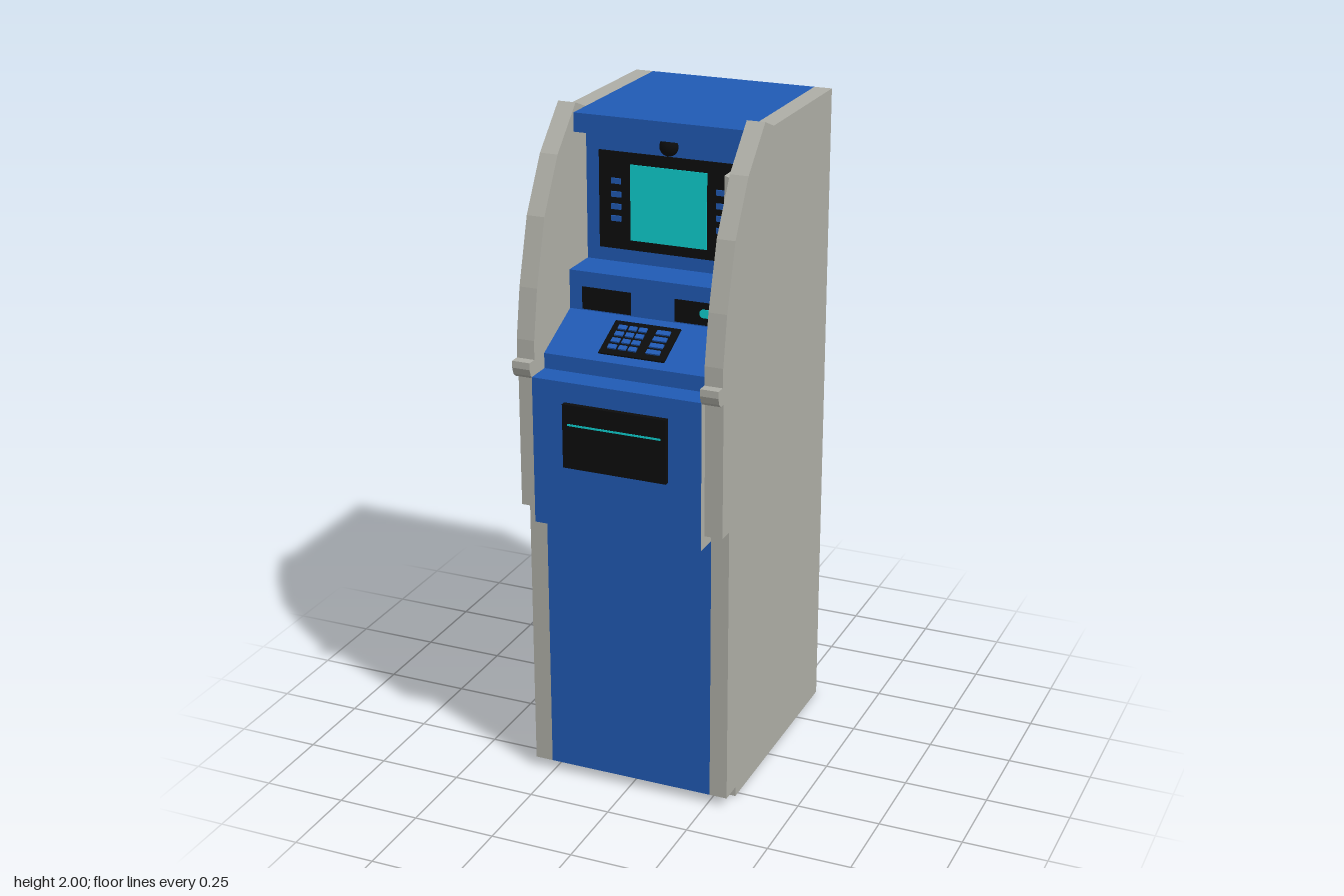
import * as THREE from 'three';

export function createModel() {
  const root = new THREE.Group();
  root.name = 'cashMachine';

  const material = (name, color) => {
    const m = new THREE.MeshStandardMaterial({ color });
    m.name = name;
    return m;
  };
  const blue = material('blue', 0x205ab4);
  const grey = material('grey', 0xaeaea6);
  const black = material('black', 0x0c0c0c);
  const cyan = material('cyan', 0x0fcfcf);

  const add = (name, geometry, mat, parent = root) => {
    const mesh = new THREE.Mesh(geometry, mat);
    mesh.name = name;
    parent.add(mesh);
    return mesh;
  };
  // Box given by its limits on each axis
  const box = (name, mat, x0, x1, y0, y1, z0, z1, parent = root) => {
    const g = new THREE.BoxGeometry(x1 - x0, y1 - y0, z1 - z0);
    g.translate((x0 + x1) / 2, (y0 + y1) / 2, (z0 + z1) / 2);
    return add(name, g, mat, parent);
  };
  // Side profile of [z, y] points, extruded from x0 to x1
  const profile = (name, mat, points, x0, x1) => {
    const shape = new THREE.Shape(points.map(([z, y]) => new THREE.Vector2(z, y)));
    const g = new THREE.ExtrudeGeometry(shape, { depth: x1 - x0, bevelEnabled: false });
    g.rotateY(-Math.PI / 2);
    g.translate(x1, 0, 0);
    return add(name, g, mat);
  };

  const inner = 0.256, outer = 0.31, back = -0.432;

  // Blue cabinet: plinth, lower front, keypad slope, console, screen recess, header
  profile('cabinet', blue, [
    [back, 0], [0.27, 0], [0.27, 0.03], [0.34, 0.03], [0.34, 1.29], [0.335, 1.29],
    [0.335, 1.335], [0.163, 1.415], [0.163, 1.53], [0.04, 1.53], [0.04, 1.92],
    [0.12, 1.92], [0.12, 1.975], [back, 1.975],
  ], -inner, inner);

  // Grey side panels with curved cheeks and a small rounded nose
  const sidePoints = [
    [back, 0], [0.27, 0], [0.27, 0.03], [0.34, 0.03], [0.34, 0.885], [0.39, 0.885],
    [0.39, 1.285], [0.41, 1.285], [0.421, 1.295], [0.428, 1.315], [0.427, 1.335],
    [0.397, 1.335], [0.395, 1.39], [0.37, 1.535], [0.315, 1.725], [0.225, 1.88],
    [0.105, 2], [0.04, 1.975], [back, 1.975],
  ];
  profile('leftSidePanel', grey, sidePoints, inner, outer);
  profile('rightSidePanel', grey, sidePoints, -outer, -inner);

  // Dispenser door, with grey edges
  box('dispenserDoor', [grey, grey, blue, blue, blue, blue],
    -inner, inner, 0.85, 1.29, 0.335, 0.415);
  box('dispenserTray', black, -0.157, 0.157, 1.04, 1.23, 0.415, 0.431);
  box('dispenserSlot', cyan, -0.142, 0.142, 1.168, 1.174, 0.43, 0.432);

  // Screen with side buttons
  box('screenBezel', black, -0.215, 0.215, 1.57, 1.855, 0.039, 0.045);
  box('screen', cyan, -0.117, 0.117, 1.6, 1.822, 0.044, 0.048);
  for (const side of [-1, 1]) {
    for (const y of [1.77, 1.731, 1.695, 1.66]) {
      const x = side * 0.161;
      box('screenButton', blue, x - 0.015, x + 0.015, y - 0.008, y + 0.008, 0.044, 0.05);
    }
  }

  // Grey post beside the screen, its top sloping down outwards
  const post = new THREE.Shape([
    new THREE.Vector2(0.211, 1.53), new THREE.Vector2(inner, 1.53),
    new THREE.Vector2(inner, 1.84), new THREE.Vector2(0.216, 1.856),
  ]);
  const postGeometry = new THREE.ExtrudeGeometry(post, { depth: 0.12, bevelEnabled: false });
  postGeometry.translate(0, 0, 0.042);
  add('screenPost', postGeometry, grey);

  // Camera dome above the screen
  const dome = add('cameraDome', new THREE.SphereGeometry(0.028, 24, 16), black);
  dome.position.set(0, 1.885, 0.04);

  // Receipt and card slots on the console wall
  box('receiptSlot', black, -0.216, -0.065, 1.419, 1.485, 0.162, 0.166);
  box('cardSlot', black, 0.07, 0.21, 1.419, 1.485, 0.162, 0.166);
  const card = new THREE.Shape();
  card.moveTo(0.21, 1.441);
  card.lineTo(0.21, 1.466);
  card.lineTo(0.158, 1.466);
  card.absarc(0.158, 1.4535, 0.0125, Math.PI / 2, Math.PI * 1.5, false);
  const cardGeometry = new THREE.ExtrudeGeometry(card, { depth: 0.003, bevelEnabled: false });
  cardGeometry.translate(0, 0, 0.165);
  add('cardGuide', cardGeometry, cyan);

  // Keypad lying on the sloping shelf
  const slope = Math.atan2(0.08, 0.172);
  const keypad = new THREE.Group();
  keypad.name = 'keypad';
  keypad.position.set(0, 1.375, 0.249);
  keypad.rotation.x = slope;
  root.add(keypad);
  const along = 1 / Math.cos(slope);
  box('keypadPlate', black, -0.1, 0.1, -0.002, 0.005, -0.061 * along, 0.06 * along, keypad);
  const columns = [[-0.08, -0.055], [-0.047, -0.024], [-0.017, 0.007], [0.037, 0.078]];
  for (const [x0, x1] of columns) {
    for (let row = 0; row < 4; row++) {
      const z = (-0.036 + row * 0.0238) * along;
      box('key', blue, x0, x1, 0.004, 0.01, z - 0.008, z + 0.008, keypad);
    }
  }

  return root;
}
